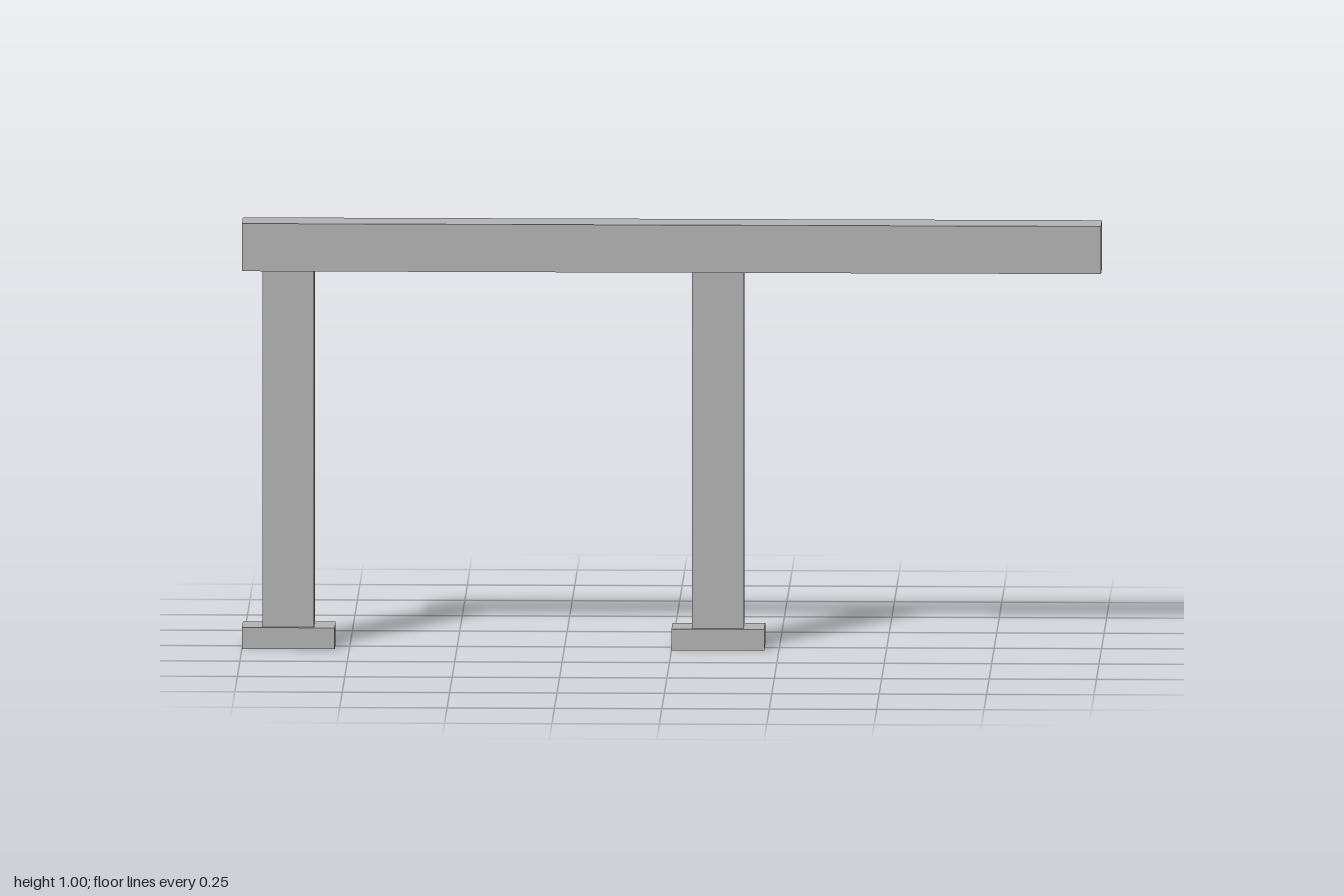
import * as THREE from 'three';

export function createModel() {
  const model = new THREE.Group();
  const grey = new THREE.MeshStandardMaterial({ color: 0xb2b2b2 });
  grey.name = 'grey';

  // Box spanning the given bottom and top heights
  function addBox(parent, name, width, depth, bottom, top) {
    const mesh = new THREE.Mesh(new THREE.BoxGeometry(width, top - bottom, depth), grey);
    mesh.name = name;
    mesh.position.y = (bottom + top) / 2;
    parent.add(mesh);
  }

  // Long top rail
  addBox(model, 'rail', 2, 0.1, 0.888, 1);

  // Two posts, each on a foot plate
  const posts = { rightSupport: -0.892, middleSupport: 0.108 };
  for (const [name, x] of Object.entries(posts)) {
    const support = new THREE.Group();
    support.name = name;
    support.position.x = x;
    addBox(support, 'post', 0.12, 0.078, 0.05, 0.888);
    addBox(support, 'foot', 0.216, 0.1, 0, 0.05);
    model.add(support);
  }
  return model;
}
